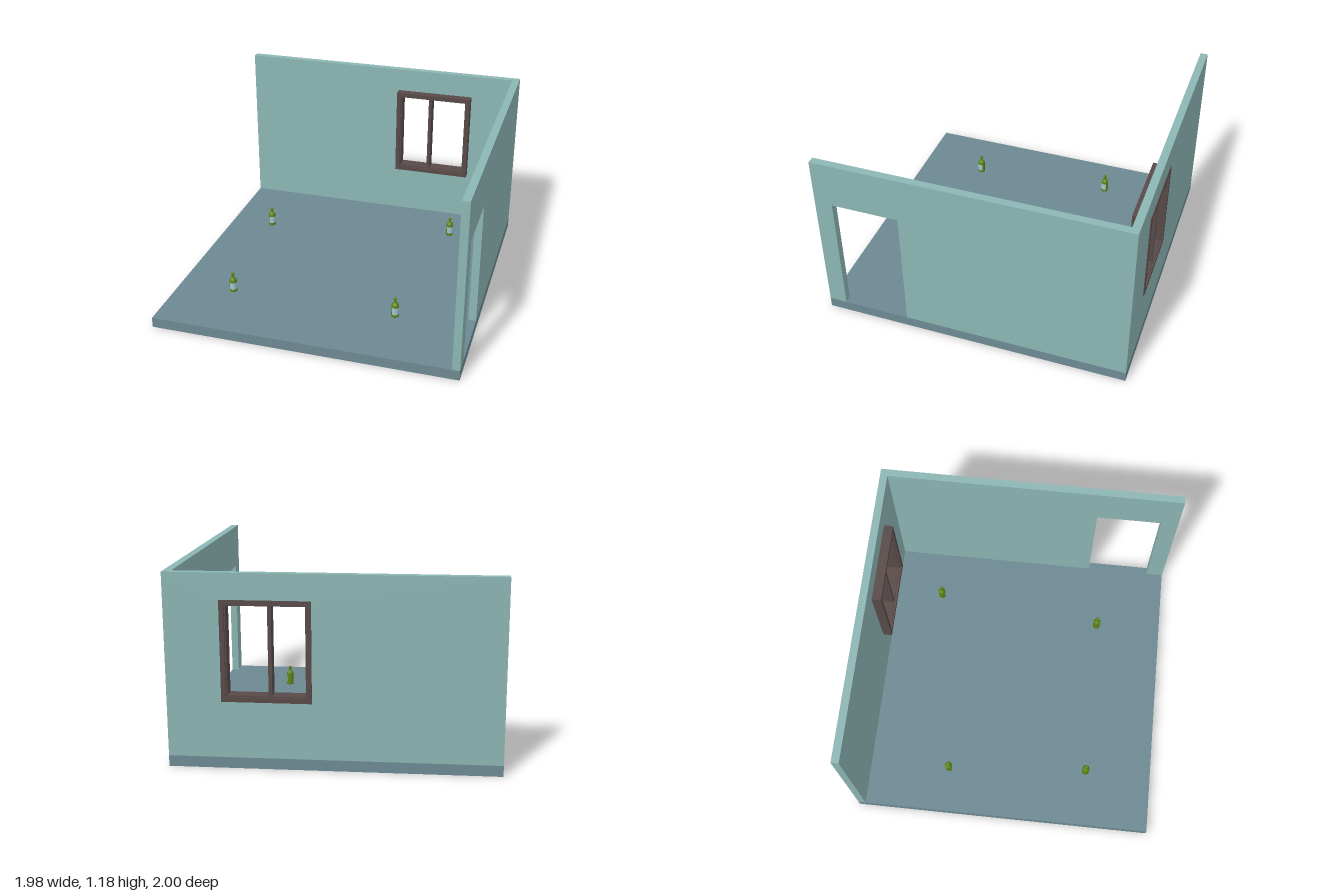
import * as THREE from 'three';

const mat = (name, color, side = THREE.FrontSide) =>
  Object.assign(new THREE.MeshStandardMaterial({ color, side }), { name });

export function createModel() {
  const wallPaint = mat('wall paint', 0x8cb6b4);
  const floorPaint = mat('floor paint', 0x6d8992, THREE.DoubleSide);
  const darkWood = mat('dark wood', 0x584a49);
  const greenGlass = mat('green glass', 0x5f8414);
  const labelPaper = mat('label paper', 0x9fc4cc, THREE.DoubleSide);

  const model = new THREE.Group();
  model.name = 'room';
  const add = (parent, name, geometry, material, x = 0, y = 0, z = 0) => {
    const mesh = new THREE.Mesh(geometry, material);
    mesh.name = name;
    mesh.position.set(x, y, z);
    parent.add(mesh);
    return mesh;
  };

  const edge = 0.992, back = -0.994, front = 1, floorY = 0.067, top = 1.181, thick = 0.049;
  const base = floorY + 0.001;

  // Floor: a shallow shell, open underneath
  const slab = new THREE.BoxGeometry(edge * 2, floorY, front - back);
  const index = Array.from(slab.index.array);
  index.splice(18, 6);
  slab.setIndex(index);
  slab.clearGroups();
  add(model, 'floor', slab, floorPaint, 0, floorY / 2, (front + back) / 2);

  const rect = (Type, x0, y0, x1, y1) =>
    new Type([[x0, y0], [x1, y0], [x1, y1], [x0, y1]].map(p => new THREE.Vector2(...p)));
  const extrude = (shape, depth) =>
    new THREE.ExtrudeGeometry(shape, { depth, bevelEnabled: false });
  // Rectangular ring with a border of the given width
  const ring = (x0, y0, x1, y1, w, depth) => {
    const shape = rect(THREE.Shape, x0, y0, x1, y1);
    shape.holes.push(rect(THREE.Path, x0 + w, y0 + w, x1 - w, y1 - w));
    return extrude(shape, depth);
  };

  // Back wall with window opening
  const [wx0, wx1, wy0, wy1] = [0.128, 0.663, 0.413, 1.023];
  const backShape = rect(THREE.Shape, -edge, base, edge, top);
  backShape.holes.push(rect(THREE.Path, wx0 + 0.005, wy0 + 0.005, wx1 - 0.005, wy1 - 0.005));
  add(model, 'backWall', extrude(backShape, thick), wallPaint, 0, 0, back);

  // Side wall with doorway notch, drawn along z
  const [dz0, dz1, doorTop] = [0.452, 0.885, 0.883];
  const sideShape = new THREE.Shape([
    [back + thick, base], [dz0, base], [dz0, doorTop], [dz1, doorTop],
    [dz1, base], [front, base], [front, top], [back + thick, top],
  ].map(p => new THREE.Vector2(...p)));
  add(model, 'sideWall', extrude(sideShape, thick).rotateY(-Math.PI / 2), wallPaint, edge);

  // Window: deep frame, inner sash and centre post
  const windowGroup = new THREE.Group();
  windowGroup.name = 'window';
  model.add(windowGroup);
  const w = 0.028;
  add(windowGroup, 'windowFrame', ring(wx0, wy0, wx1, wy1, w, 0.115), darkWood, 0, 0, -1);
  add(windowGroup, 'windowSash',
    ring(wx0 + w, wy0 + w, wx1 - w, wy1 - w, 0.008, 0.085), darkWood, 0, 0, -0.985);
  add(windowGroup, 'windowPost',
    new THREE.BoxGeometry(0.022, wy1 - wy0 - 2 * w, 0.08), darkWood,
    0.373, (wy0 + wy1) / 2, -0.942);

  // Bottles with a wrapped paper label
  const profile = [
    [0, 0], [0.023, 0], [0.0245, 0.003], [0.0245, 0.083], [0.021, 0.092], [0.011, 0.1],
    [0.0085, 0.105], [0.0085, 0.122], [0.0115, 0.123], [0.0115, 0.131], [0.009, 0.133], [0, 0.133],
  ].map(p => new THREE.Vector2(...p));
  const glass = new THREE.LatheGeometry(profile, 20);
  const label = new THREE.CylinderGeometry(
    0.0253, 0.0253, 0.05, 14, 1, true, Math.PI / 4 - 1.4, 2.8);
  for (const [x, z] of [[-0.69, -0.4], [-0.616, 0.55], [0.486, 0.542], [0.611, -0.615]]) {
    const bottle = new THREE.Group();
    bottle.name = 'bottle';
    bottle.position.set(x, floorY + 0.001, z);
    add(bottle, 'bottleGlass', glass, greenGlass);
    add(bottle, 'bottleLabel', label, labelPaper, 0, 0.045, 0);
    model.add(bottle);
  }
  return model;
}
